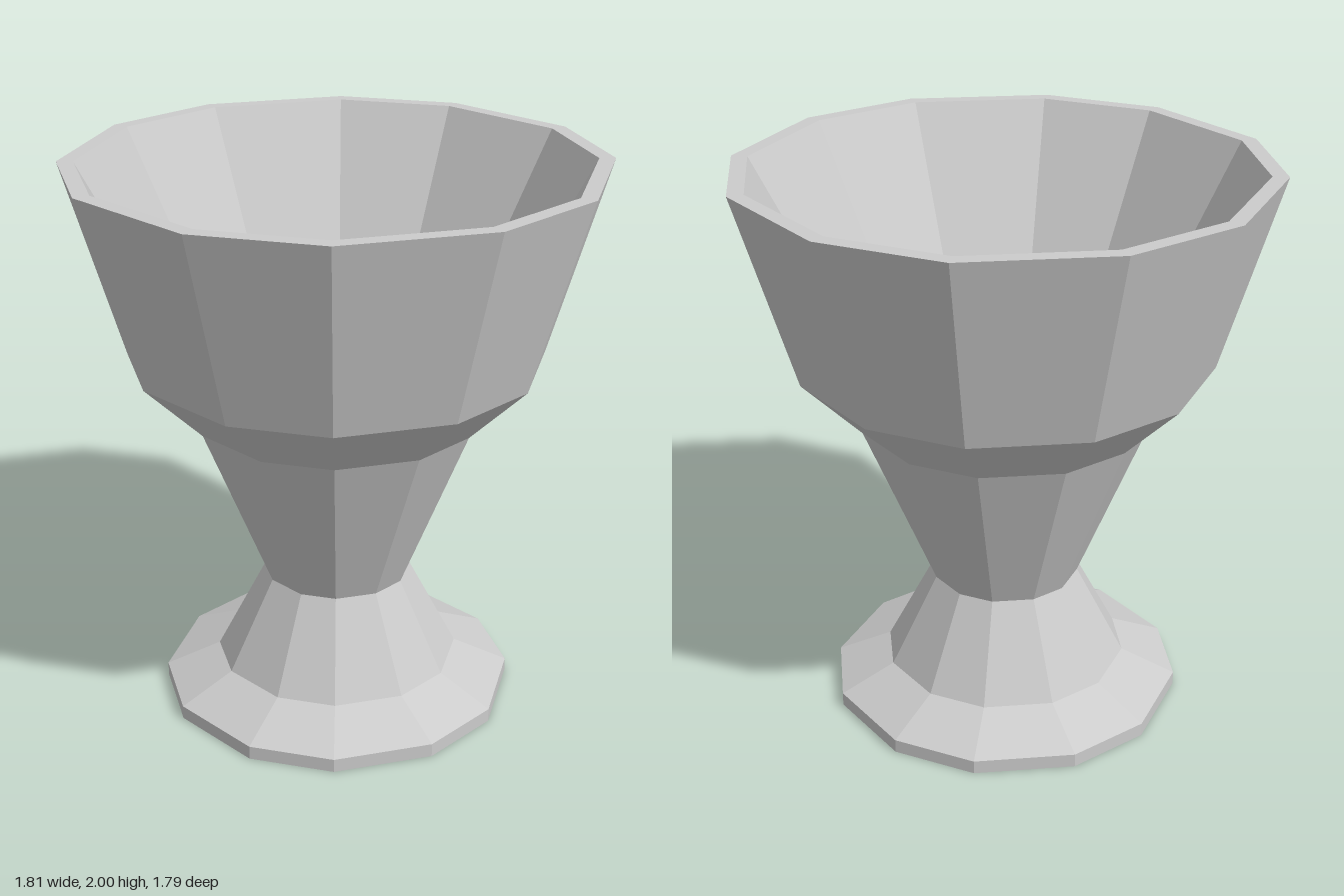
import * as THREE from 'three';

const SIDES = 12;
const TWIST = THREE.MathUtils.degToRad(1.15);
const WIDTH_TO_RADIUS = 1 / 0.97; // profile half-widths are measured across x

const material = new THREE.MeshStandardMaterial({ color: 0xcccccc, flatShading: true });

// Faceted turned part; alternate corners are turned slightly so facets vary in width
function turned(name, profile) {
  const points = profile.map(([w, y]) => new THREE.Vector2(w * WIDTH_TO_RADIUS, y));
  const geometry = new THREE.LatheGeometry(points, SIDES, Math.PI / SIDES);
  const pos = geometry.attributes.position;
  for (let i = 0; i <= SIDES; i++) {
    const angle = (i + 0.5) * (2 * Math.PI / SIDES) + (i % 2 ? -TWIST : TWIST);
    points.forEach((p, j) => {
      pos.setXYZ(i * points.length + j, p.x * Math.sin(angle), p.y, p.x * Math.cos(angle));
    });
  }
  const flat = geometry.toNonIndexed();
  flat.computeVertexNormals();
  const mesh = new THREE.Mesh(flat, material);
  mesh.name = name;
  return mesh;
}

export function createModel() {
  const goblet = new THREE.Group();
  goblet.name = 'goblet';

  // Flat base, bevelled disc and flared stem up to the waist
  goblet.add(turned('foot', [[0, 0], [0.622, 0], [0.622, 0.05], [0.43, 0.14], [0.26, 0.475]]));

  // Outer wall, shoulder, rim, then the hollow inside down to its floor
  goblet.add(turned('cup', [
    [0.26, 0.475], [0.508, 1.105], [0.71, 1.315], [0.905, 2],
    [0.85, 2], [0.39, 1.1], [0.192, 0.5], [0, 0.5],
  ]));

  return goblet;
}
